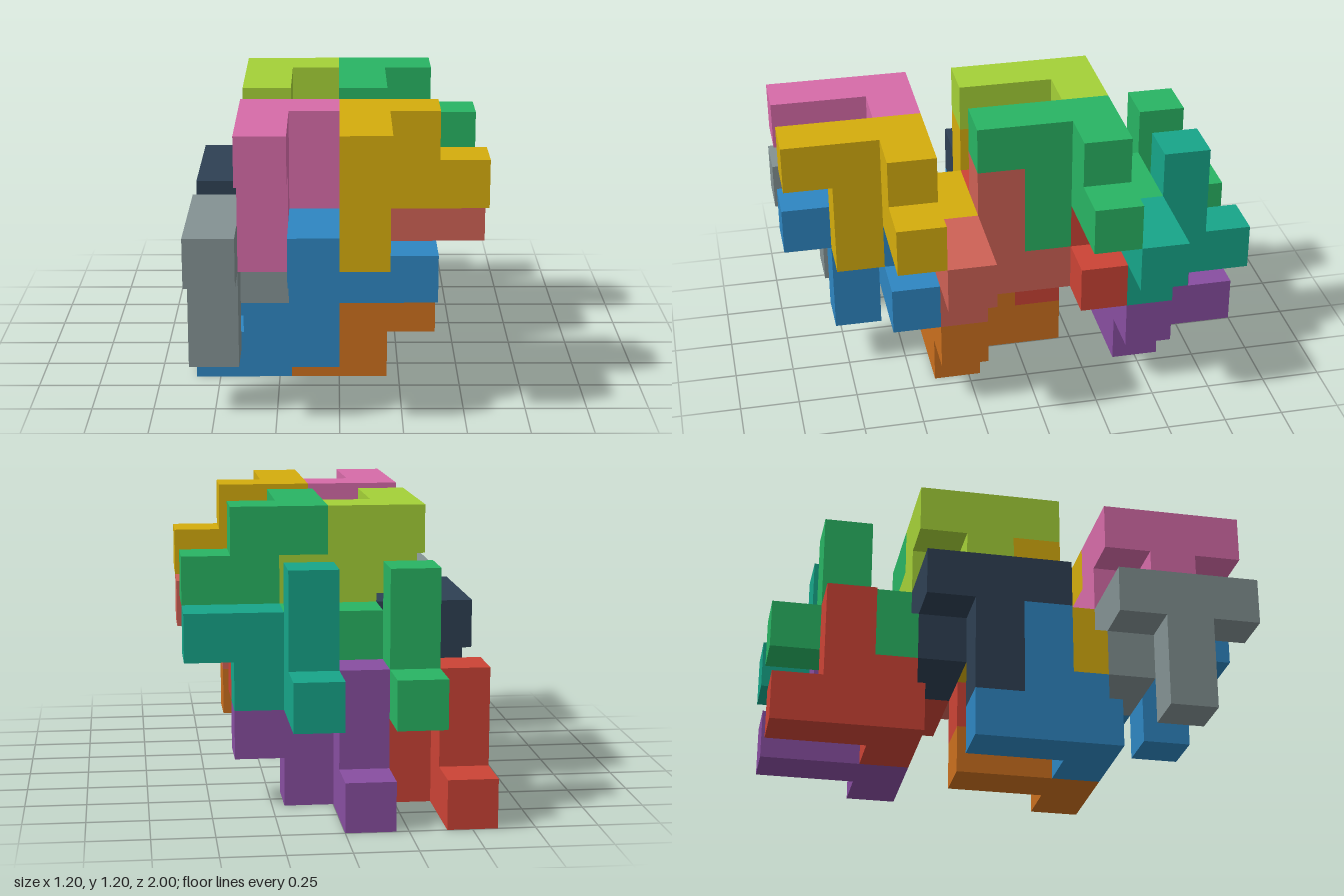
import * as THREE from 'three';
import { mergeGeometries } from 'three/addons/utils/BufferGeometryUtils.js';

const U = 0.2; // edge of one cube cell

// Cells of the repeated eight-cube piece, relative to the middle of its bar
const CELLS = [
  [0, 0, -1], [0, 0, 0], [0, 0, 1],    // bar
  [0, -1, 0], [0, -2, 0],              // stem
  [1, 0, -1], [1, -1, -1], [2, -1, -1] // stepped arm
];

// Outward faces: direction and the rotation that turns a +z plane to it
const FACES = [
  [[1, 0, 0], 0, Math.PI / 2], [[-1, 0, 0], 0, -Math.PI / 2],
  [[0, 1, 0], -Math.PI / 2, 0], [[0, -1, 0], Math.PI / 2, 0],
  [[0, 0, 1], 0, 0], [[0, 0, -1], 0, Math.PI]
];

// Outer skin of the piece: a square wherever a cell has no neighbour
function pieceGeometry() {
  const filled = new Set(CELLS.map(c => c.join()));
  const squares = [];
  for (const c of CELLS) {
    for (const [d, rx, ry] of FACES) {
      if (filled.has(c.map((v, a) => v + d[a]).join())) continue;
      const square = new THREE.PlaneGeometry(U, U).rotateX(rx).rotateY(ry);
      square.translate(...c.map((v, a) => (v + d[a] / 2) * U));
      squares.push(square);
    }
  }
  return mergeGeometries(squares);
}

const YELLOW = 0xd4ac0d, BLUE = 0x2e86c1, GREEN = 0x28b463, RED = 0xcb4335;

// name, colour, grid cell of the bar's middle, stem pointing up?
const PIECES = [
  // front row, stems down
  ['frontUpperRightwardPiece', YELLOW, [3, 5, 8], false],
  ['frontUpperPiece', 0xd66ba8, [1, 5, 8], false],
  ['frontLowerOuterPiece', 0x839192, [0, 3, 8], false],
  ['frontLowerInnerPiece', BLUE, [2, 3, 8], false],
  // front row, stems up
  ['frontRaisedOuterPiece', 0xcd6155, [3, 2, 5], true],
  ['frontRaisedInnerPiece', YELLOW, [1, 2, 5], true],
  ['frontBaseInnerPiece', 0xca6f1e, [2, 0, 5], true],
  ['frontBaseOuterPiece', BLUE, [0, 0, 5], true],
  // back row, stems down
  ['backUpperOuterPiece', GREEN, [3, 5, 4], false],
  ['backUpperInnerPiece', 0xa4d037, [1, 5, 4], false],
  ['backLowerOuterPiece', 0x2e4053, [0, 3, 4], false],
  ['backLowerInnerPiece', RED, [2, 3, 4], false],
  // back row, stems up
  ['backRaisedOuterPiece', 0x17a589, [3, 2, 1], true],
  ['backRaisedInnerPiece', GREEN, [1, 2, 1], true],
  ['backBaseInnerPiece', 0x884ea0, [2, 0, 1], true],
  ['backBaseOuterPiece', RED, [0, 0, 1], true]
];

export function createModel() {
  const group = new THREE.Group();
  group.name = 'interlockingCubePieces';
  const geometry = pieceGeometry();
  for (const [name, color, [i, j, k], stemUp] of PIECES) {
    const mesh = new THREE.Mesh(geometry, new THREE.MeshStandardMaterial({ color }));
    mesh.name = name;
    mesh.position.set((i - 2.5) * U, (j + 0.5) * U, (k - 4.5) * U);
    if (stemUp) mesh.rotation.x = Math.PI;
    group.add(mesh);
  }
  return group;
}
